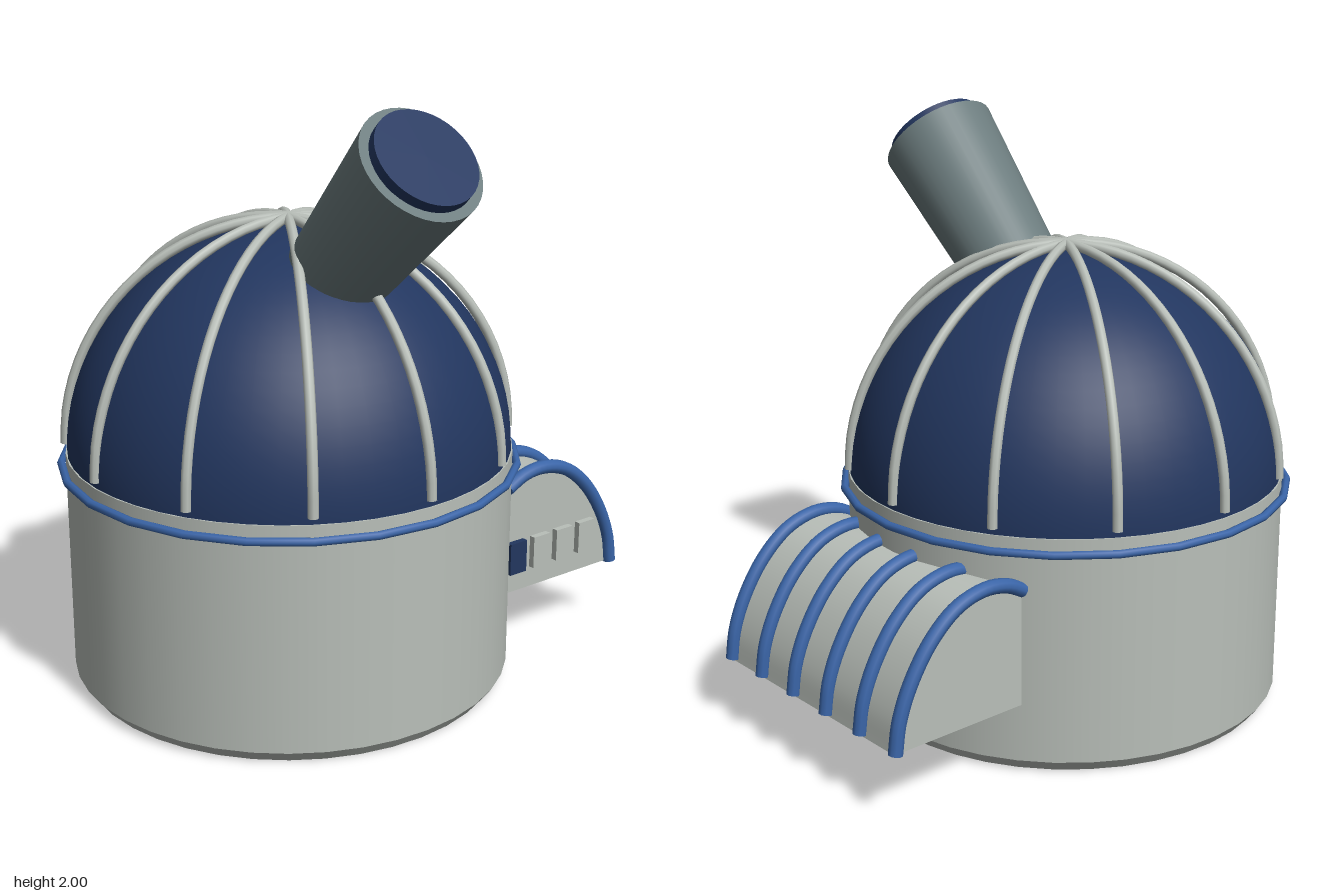
import * as THREE from 'three';
import { mergeGeometries, toCreasedNormals } from 'three/addons/utils/BufferGeometryUtils.js';

const mat = (name, color) => {
  const m = new THREE.MeshStandardMaterial({ color });
  m.name = name;
  return m;
};

// Round bar along a curve, closed with a disc at each end
function cappedTube(curve, radius, segments, sides) {
  const parts = [new THREE.TubeGeometry(curve, segments, radius, sides)];
  for (const t of [0, 1]) {
    const dir = curve.getTangent(t).multiplyScalar(t ? 1 : -1);
    const p = curve.getPoint(t);
    const cap = new THREE.CircleGeometry(radius, sides);
    cap.applyQuaternion(new THREE.Quaternion().setFromUnitVectors(new THREE.Vector3(0, 0, 1), dir));
    cap.translate(p.x, p.y, p.z);
    parts.push(cap);
  }
  return mergeGeometries(parts);
}

export function createModel() {
  const wall = mat('pale grey', 0xb9bfb9);
  const navy = mat('navy', 0x22365f);
  const blue = mat('blue', 0x3a65a8);
  const steel = mat('steel grey', 0x6c7c7e);

  const model = new THREE.Group();
  model.name = 'observatory';
  const add = (parent, name, geometry, material, x = 0, y = 0, z = 0) => {
    const mesh = new THREE.Mesh(geometry, material);
    mesh.name = name;
    mesh.position.set(x, y, z);
    parent.add(mesh);
    return mesh;
  };

  // Round tower: drum, trim ring and dome
  const tower = new THREE.Group();
  tower.name = 'tower';
  tower.position.set(-0.175, 0, -0.02);
  model.add(tower);
  add(tower, 'drumFoot', new THREE.CylinderGeometry(0.75, 0.72, 0.04, 40, 1), wall, 0, 0.02, 0);
  add(tower, 'drum', new THREE.CylinderGeometry(0.75, 0.75, 0.765, 40, 1), wall, 0, 0.4225, 0);
  const ring = add(tower, 'trimRing', new THREE.TorusGeometry(0.766, 0.014, 8, 24), blue, 0, 0.758, 0);
  ring.rotation.x = Math.PI / 2;
  add(tower, 'dome', new THREE.SphereGeometry(0.745, 48, 20, 0, Math.PI * 2, 0, Math.PI / 2), navy, 0, 0.8, 0);

  // Six arches crossing at the crown make twelve dome ribs
  const arch = [];
  for (let i = 0; i <= 24; i++) {
    const a = (i / 24) * Math.PI;
    arch.push(new THREE.Vector3(0.748 * Math.cos(a), 0.748 * Math.sin(a), 0));
  }
  const archGeometry = cappedTube(new THREE.CatmullRomCurve3(arch), 0.017, 40, 8);
  for (let i = 0; i < 6; i++) {
    add(tower, 'domeRib', archGeometry, wall, 0, 0.827, 0).rotation.y = (i * Math.PI) / 6;
  }

  // Tapered telescope, tilted forward at 45 degrees; its origin is the mouth
  const telescope = new THREE.Group();
  telescope.name = 'telescope';
  telescope.position.set(-0.175, 1.853, 0.655);
  telescope.rotation.x = Math.PI / 4;
  model.add(telescope);
  add(telescope, 'barrel', new THREE.CylinderGeometry(0.204, 0.155, 0.72, 40), steel, 0, -0.36, 0);
  add(telescope, 'lens', new THREE.CylinderGeometry(0.172, 0.172, 0.07, 40), navy, 0, 0, 0);

  // Side annex with a curved roof
  const annex = new THREE.Group();
  annex.name = 'annex';
  model.add(annex);
  const roof = new THREE.CatmullRomCurve3([
    [0.415, 0.63], [0.48, 0.662], [0.57, 0.674], [0.68, 0.645],
    [0.78, 0.565], [0.86, 0.45], [0.905, 0.34], [0.922, 0.237],
  ].map(([x, y]) => new THREE.Vector3(x, y, 0)));
  const outline = roof.getPoints(28).map((p) => new THREE.Vector2(p.x - 0.006, p.y - 0.01));
  outline.push(new THREE.Vector2(0.916, 0.237), new THREE.Vector2(0.415, 0.237));
  const hall = new THREE.ExtrudeGeometry(new THREE.Shape(outline), { depth: 0.9, bevelEnabled: false });
  add(annex, 'annexHall', toCreasedNormals(hall, 0.5), wall, 0, 0, -0.472);

  // Roof hoops
  const hoop = cappedTube(roof, 0.024, 32, 10);
  for (let i = 0; i < 6; i++) add(annex, 'roofHoop', hoop, blue, 0, 0, 0.43 - i * 0.18);

  // Door and three raised panels on the front wall
  const panel = new THREE.BoxGeometry(0.074, 0.115, 0.04);
  for (let i = 0; i < 4; i++) {
    add(annex, i ? 'wallPanel' : 'door', panel, i ? wall : navy, 0.458 + i * 0.108, 0.37, 0.43);
  }

  return model;
}
